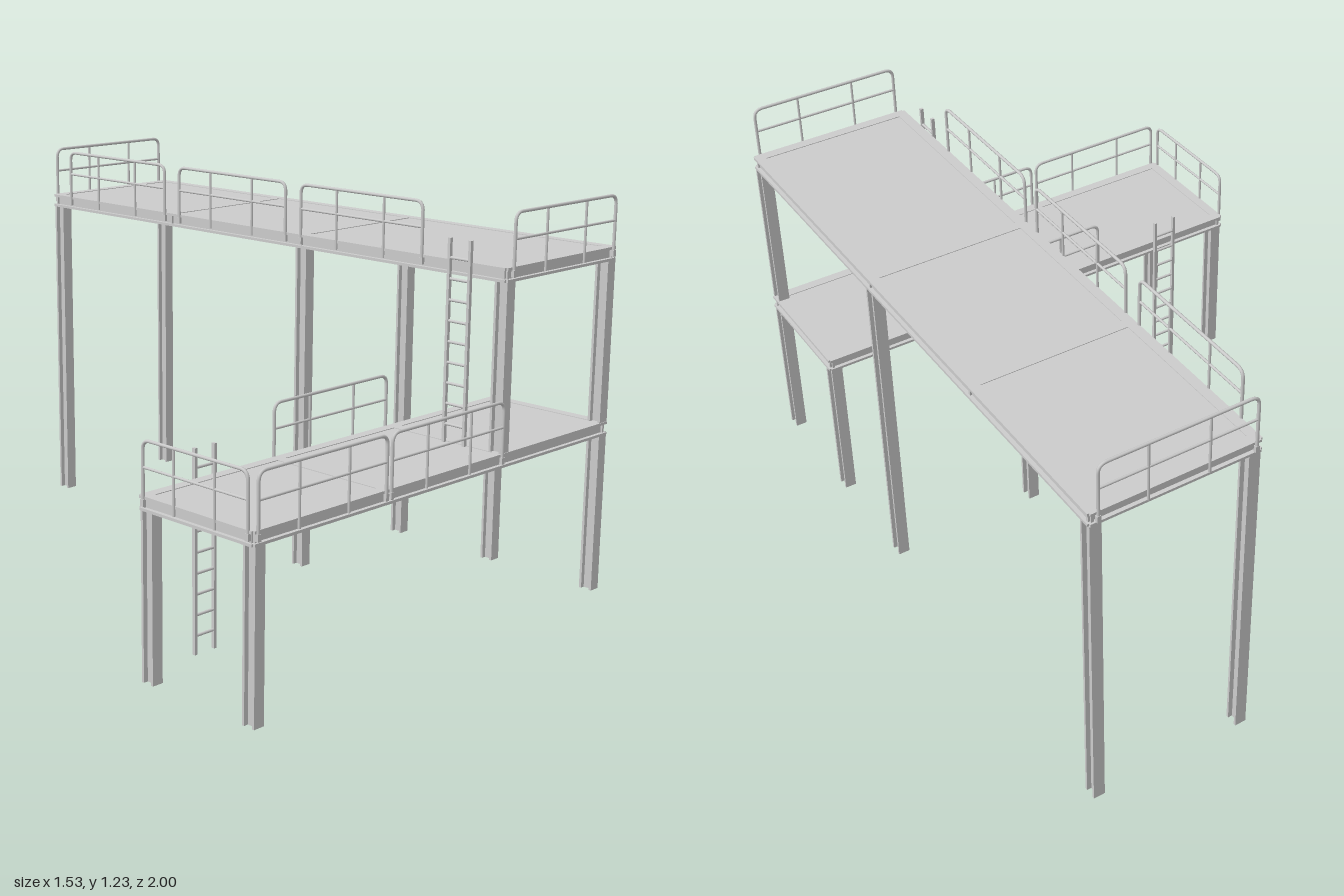
import * as THREE from 'three';

const material = new THREE.MeshStandardMaterial({ color: 0xcccccc });

function addMesh(parent, name, geometry, x = 0, y = 0, z = 0) {
  const mesh = new THREE.Mesh(geometry, material);
  mesh.name = name;
  mesh.position.set(x, y, z);
  parent.add(mesh);
  return mesh;
}

// I-section of width w and height h, extruded along z and centred
function iBeam(w, h, length, flange = 0.008, web = 0.008) {
  const a = w / 2, b = h / 2, c = web / 2, d = b - flange;
  const points = [[-a, -b], [a, -b], [a, -d], [c, -d], [c, d], [a, d],
    [a, b], [-a, b], [-a, d], [-c, d], [-c, -d], [-a, -d]];
  const shape = new THREE.Shape(points.map(p => new THREE.Vector2(...p)));
  return new THREE.ExtrudeGeometry(shape, { depth: length, bevelEnabled: false })
    .translate(0, 0, -length / 2);
}

// Upright I-section column, flanges facing front and back
function addPost(parent, x, z, y0, y1) {
  const geometry = iBeam(0.036, 0.044, y1 - y0).rotateX(-Math.PI / 2);
  addMesh(parent, 'post', geometry, x, (y0 + y1) / 2, z);
}

// Beam frame with plates; crossX and crossZ list the inner cross beams
function makeDeck(name, x0, x1, z0, z1, top, crossX, crossZ) {
  const deck = new THREE.Group();
  deck.name = name;
  const w = 0.032, h = 0.042, y = top - h / 2;
  const cx = (x0 + x1) / 2, cz = (z0 + z1) / 2;
  const alongX = z => addMesh(deck, 'beam',
    iBeam(w, h, x1 - x0 - 0.012).rotateY(Math.PI / 2), cx, y, z);
  const alongZ = x => addMesh(deck, 'beam', iBeam(w, h, z1 - z0 - 0.012), x, y, cz);
  [z0 + w / 2, z1 - w / 2, ...crossZ].forEach(alongX);
  [x0 + w / 2, x1 - w / 2, ...crossX].forEach(alongZ);
  // Plates set just below the beam tops
  const xs = [x0 + w / 2, ...crossX, x1 - w / 2];
  const zs = [z0 + w / 2, ...crossZ, z1 - w / 2];
  for (let i = 0; i < xs.length - 1; i++) {
    for (let j = 0; j < zs.length - 1; j++) {
      addMesh(deck, 'deckPlate',
        new THREE.BoxGeometry(xs[i + 1] - xs[i] - 0.01, 0.008, zs[j + 1] - zs[j] - 0.01),
        (xs[i] + xs[i + 1]) / 2, top - 0.006, (zs[j] + zs[j + 1]) / 2);
    }
  }
  return deck;
}

// Tubular guard rail of given length, in its own xy plane, y = 0 at deck top
function makeRailing(length, x, y, z, turn = 0) {
  const rail = new THREE.Group();
  rail.name = 'railing';
  const r = 0.005, a = length / 2 - r, top = 0.155, foot = -0.028, bend = 0.028;
  const v = (px, py) => new THREE.Vector3(px, py, 0);
  const path = new THREE.CurvePath();
  path.add(new THREE.LineCurve3(v(-a, foot), v(-a, top - bend)));
  path.add(new THREE.QuadraticBezierCurve3(v(-a, top - bend), v(-a, top), v(bend - a, top)));
  path.add(new THREE.LineCurve3(v(bend - a, top), v(a - bend, top)));
  path.add(new THREE.QuadraticBezierCurve3(v(a - bend, top), v(a, top), v(a, top - bend)));
  path.add(new THREE.LineCurve3(v(a, top - bend), v(a, foot)));
  addMesh(rail, 'railFrame', new THREE.TubeGeometry(path, 120, r, 8));
  addMesh(rail, 'midRail',
    new THREE.CylinderGeometry(0.004, 0.004, 2 * a, 8).rotateZ(Math.PI / 2), 0, 0.08, 0);
  for (const s of [-1, 1]) {
    addMesh(rail, 'railUpright', new THREE.CylinderGeometry(0.004, 0.004, top - foot, 8),
      s * length * 0.19, (top + foot) / 2, 0);
    // Fixing foot against the beam
    addMesh(rail, 'railFoot', new THREE.BoxGeometry(0.012, 0.02, 0.01), s * a, foot + 0.01, 0);
  }
  rail.position.set(x, y, z);
  rail.rotation.y = turn;
  return rail;
}

// Two stringers with evenly spaced rungs
function makeLadder(name, x, z, y0, turn = 0) {
  const ladder = new THREE.Group();
  ladder.name = name;
  const width = 0.074, height = 0.6;
  for (const s of [-1, 1]) {
    addMesh(ladder, 'stringer', new THREE.BoxGeometry(0.009, height, 0.011),
      s * width / 2, height / 2, 0);
  }
  for (let i = 0; i < 9; i++) {
    addMesh(ladder, 'rung',
      new THREE.CylinderGeometry(0.0045, 0.0045, width, 8).rotateZ(Math.PI / 2),
      0, 0.055 + i * 0.061, 0);
  }
  ladder.position.set(x, y0, z);
  ladder.rotation.y = turn;
  return ladder;
}

export function createModel() {
  const model = new THREE.Group();
  model.name = 'steelPlatforms';
  const low = 0.535, high = 1.072, quarter = Math.PI / 2;

  model.add(makeDeck('lowerDeck', -0.765, 0.76, 0.56, 0.99, low, [-0.25, 0.25], []));
  model.add(makeDeck('upperDeck', 0.226, 0.758, -0.99, 0.99, high, [], [-0.385, 0.2]));

  // Columns under the lower deck
  for (const x of [-0.737, 0.737]) {
    for (const z of [0.582, 0.966]) addPost(model, x, z, 0, low - 0.042);
  }
  // Columns under the upper deck
  for (const x of [0.252, 0.737]) {
    addPost(model, x, 0.966, low, high - 0.042);
    for (const z of [0.2, -0.967]) addPost(model, x, z, 0, high - 0.042);
  }

  // Lower railings: front pair, back one, right end
  model.add(makeRailing(0.495, -0.508, low, 0.993));
  model.add(makeRailing(0.49, -0.005, low, 0.993));
  model.add(makeRailing(0.49, -0.005, low, 0.556));
  model.add(makeRailing(0.4, -0.765, low, 0.776, quarter));

  // Upper railings: both ends and a row along the right side
  for (const z of [-0.995, 0.995]) model.add(makeRailing(0.49, 0.492, high, z));
  for (const z of [0.445, -0.1, -0.65]) model.add(makeRailing(0.49, 0.226, high, z, quarter));

  model.add(makeLadder('lowerLadder', -0.511, 0.55, 0.018));
  model.add(makeLadder('upperLadder', 0.222, 0.828, low, quarter));
  return model;
}
